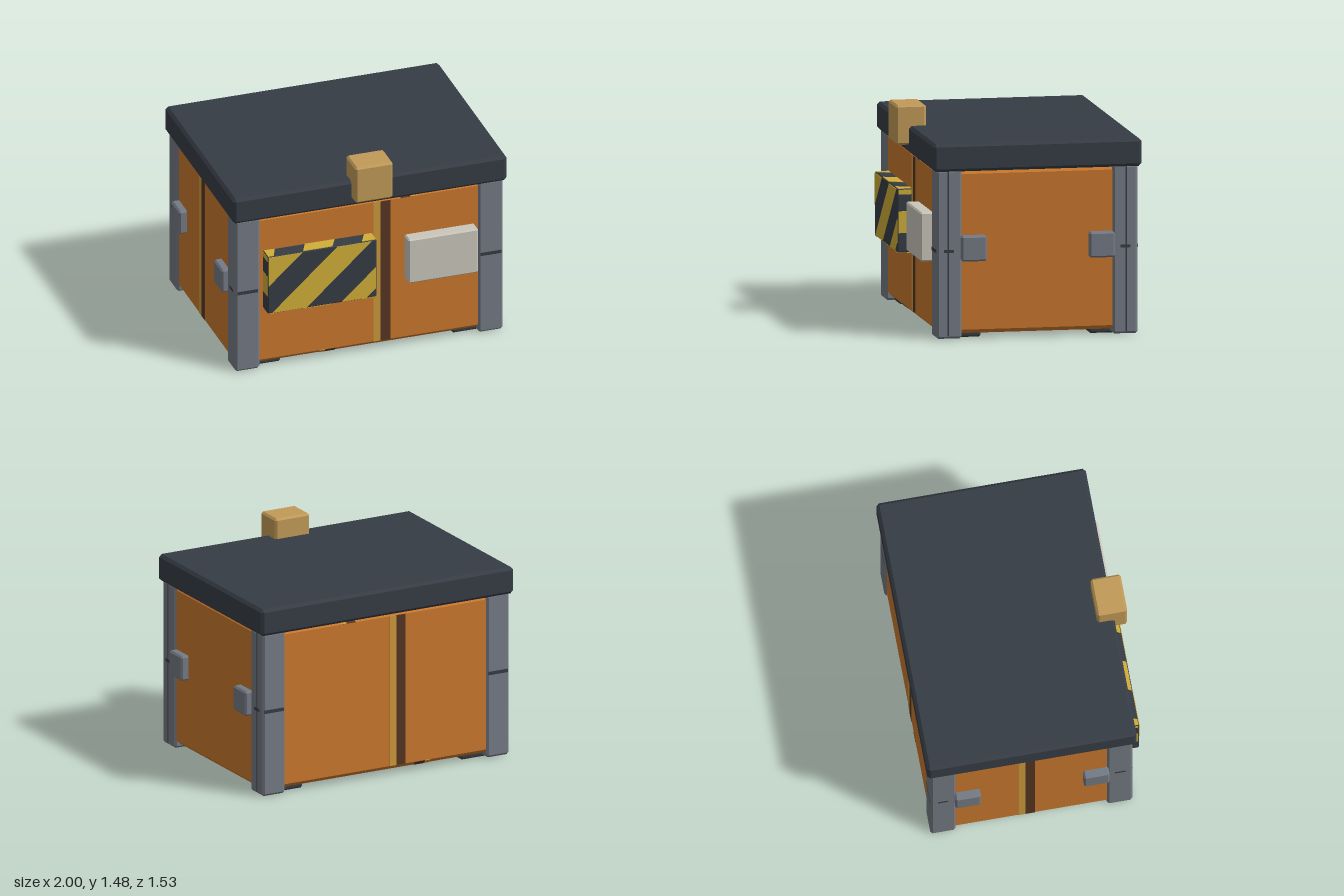
import * as THREE from 'three';
import { ConvexGeometry } from 'three/addons/geometries/ConvexGeometry.js';

const material = (name, color) => {
  const m = new THREE.MeshStandardMaterial({ color });
  m.name = name;
  return m;
};

// Box given by its limits, with every edge cut by a flat chamfer c
function chamferBox([x0, x1], [y0, y1], [z0, z1], c) {
  const h = [(x1 - x0) / 2, (y1 - y0) / 2, (z1 - z0) / 2];
  const pts = [];
  for (const sx of [-1, 1]) for (const sy of [-1, 1]) for (const sz of [-1, 1]) {
    for (let a = 0; a < 3; a++) {
      const [x, y, z] = h.map((v, i) => (i === a ? v : v - c));
      pts.push(new THREE.Vector3(sx * x, sy * y, sz * z));
    }
  }
  return new ConvexGeometry(pts).translate((x0 + x1) / 2, (y0 + y1) / 2, (z0 + z1) / 2);
}

function plainBox([x0, x1], [y0, y1], [z0, z1]) {
  return new THREE.BoxGeometry(x1 - x0, y1 - y0, z1 - z0)
    .translate((x0 + x1) / 2, (y0 + y1) / 2, (z0 + z1) / 2);
}

// Thin polygon plate in the xy plane
function polyPlate(points, depth) {
  const shape = new THREE.Shape(points.map(([x, y]) => new THREE.Vector2(x, y)));
  return new THREE.ExtrudeGeometry(shape, { depth, bevelEnabled: false });
}

export function createModel() {
  const orange = material('orange paint', 0xc8772d);
  const steel = material('grey steel', 0x747a84);
  const dark = material('dark metal', 0x363c45);
  const brass = material('brass', 0xc09a58);
  const yellow = material('warning yellow', 0xd0ae38);
  const ochre = material('ochre stripe', 0xcc983c);
  const brown = material('brown stripe', 0x553522);
  const pale = material('pale label', 0xcac6bb);

  const model = new THREE.Group();
  model.name = 'crate';
  const add = (name, geometry, mat, parent = model) => {
    const mesh = new THREE.Mesh(geometry, mat);
    mesh.name = name;
    parent.add(mesh);
    return mesh;
  };

  // Main body and lid
  const X = 0.945, Y0 = 0.035, Y1 = 1.155, ZF = 0.635, ZB = -0.725, C = 0.027;
  add('body', chamferBox([-X, X], [Y0, Y1], [ZB, ZF], C), orange);
  add('lid', chamferBox([-0.98, 0.98], [1.15, 1.34], [-0.765, 0.675], 0.02), dark);

  // Painted stripes around the body
  const stripes = new THREE.Group();
  stripes.name = 'bodyStripes';
  model.add(stripes);
  const t = 0.003;
  const wall = [Y0 + C, Y1 - C];
  const bands = [
    // colour, front limits, bottom limits, top limits, side limits
    [ochre, [0.035, 0.085], [-0.35, -0.31], [0.3, 0.345], [-0.135, -0.085]],
    [brown, [0.085, 0.155], [-0.31, -0.235], [0.23, 0.3], [-0.085, -0.02]],
  ];
  for (const [mat, front, bottom, top, side] of bands) {
    add('frontStripe', plainBox(front, wall, [ZF - t, ZF + t]), mat, stripes);
    add('backStripe', plainBox([-front[1], -front[0]], wall, [ZB - t, ZB + t]), mat, stripes);
    add('sideStripe', plainBox([-X - t, -X + t], wall, side), mat, stripes);
    add('bottomStripe', plainBox(bottom, [Y0 - t, Y0 + t], [ZB + C, ZF - C]), mat, stripes);
    // short pieces lying on the chamfers
    for (const [lim, y, sy] of [[bottom, Y0 + C / 2, -1], [top, Y1 - C / 2, 1]]) {
      for (const [z, sz] of [[ZF - C / 2, 1], [ZB + C / 2, -1]]) {
        const piece = add('edgeStripe', new THREE.BoxGeometry(lim[1] - lim[0], 2 * t, C * 1.41), mat, stripes);
        piece.position.set((lim[0] + lim[1]) / 2, y, z);
        piece.rotation.x = (sy * sz * Math.PI) / 4;
      }
    }
  }

  // Corner posts, feet and side brackets
  for (const s of [-1, 1]) {
    const mx = (a, b) => (s > 0 ? [a, b] : [-b, -a]);
    for (const f of [1, -1]) {
      const mz = (a, b) => (f > 0 ? [a - 0.045, b - 0.045] : [-b - 0.045, -a - 0.045]);
      const corner = new THREE.Group();
      corner.name = (f > 0 ? 'front' : 'back') + (s > 0 ? 'Left' : 'Right') + 'Corner';
      model.add(corner);
      add('post', chamferBox(mx(0.782, 0.958), [0.004, 1.16], mz(0.52, 0.695), 0.015), steel, corner);
      add('postSeam', plainBox(mx(0.796, 0.944), [0.592, 0.616], mz(0.69, 0.697)), dark, corner);
      add('postSideSeam', plainBox(mx(0.953, 0.96), [0.594, 0.614], mz(0.575, 0.645)), dark, corner);
      add('foot', chamferBox(mx(0.615, 0.875), [0, 0.04], mz(0.375, 0.635), 0.01), dark, corner);
      add('sideBracket', chamferBox(mx(0.93, 1), [0.535, 0.71], mz(0.355, 0.53), 0.012), steel, corner);
      if (s > 0) add('postLine', plainBox([0.954, 0.96], [0.02, 1.15], mz(0.61, 0.62)), dark, corner);
    }
  }

  // Clasp on the lid and label on the front
  add('clasp', chamferBox([-0.137, 0.133], [1.21, 1.483], [0.555, 0.763], 0.014), brass);
  add('label', chamferBox([0.257, 0.757], [0.507, 0.843], [0.62, 0.72], 0.01), pale);

  // Warning plate with diagonal stripes
  const plate = new THREE.Group();
  plate.name = 'warningPlate';
  model.add(plate);
  add('plateBase', chamferBox([-0.755, 0.025], [0.455, 0.895], [0.62, 0.732], 0.008), dark, plate);
  const frontStripes = [
    [[-0.748, 0.668], [-0.508, 0.888], [-0.748, 0.888]],
    [[-0.722, 0.462], [-0.476, 0.462], [-0.012, 0.888], [-0.258, 0.888]],
    [[-0.225, 0.462], [-0.05, 0.462], [0.018, 0.524], [0.018, 0.684]],
  ];
  for (const p of frontStripes) {
    add('plateStripe', polyPlate(p, 0.006).translate(0, 0, 0.729), yellow, plate);
  }
  const topStripes = [
    [[-0.75, 0.63], [-0.67, 0.63], [-0.71, 0.727], [-0.75, 0.727]],
    [[-0.455, 0.63], [-0.24, 0.63], [-0.29, 0.727], [-0.5, 0.727]],
    [[-0.03, 0.63], [0.02, 0.63], [0.02, 0.727], [-0.08, 0.727]],
  ];
  for (const p of topStripes) {
    for (const y of [0.897, 0.457]) {
      add('plateEdgeStripe', polyPlate(p, 0.004).rotateX(Math.PI / 2).translate(0, y, 0), yellow, plate);
    }
  }
  for (const x of [-0.755, 0.025]) {
    for (const y of [[0.59, 0.74], [0.855, 0.887]]) {
      add('plateSideStripe', plainBox([x - 0.002, x + 0.002], y, [0.63, 0.724]), yellow, plate);
    }
  }
  return model;
}
